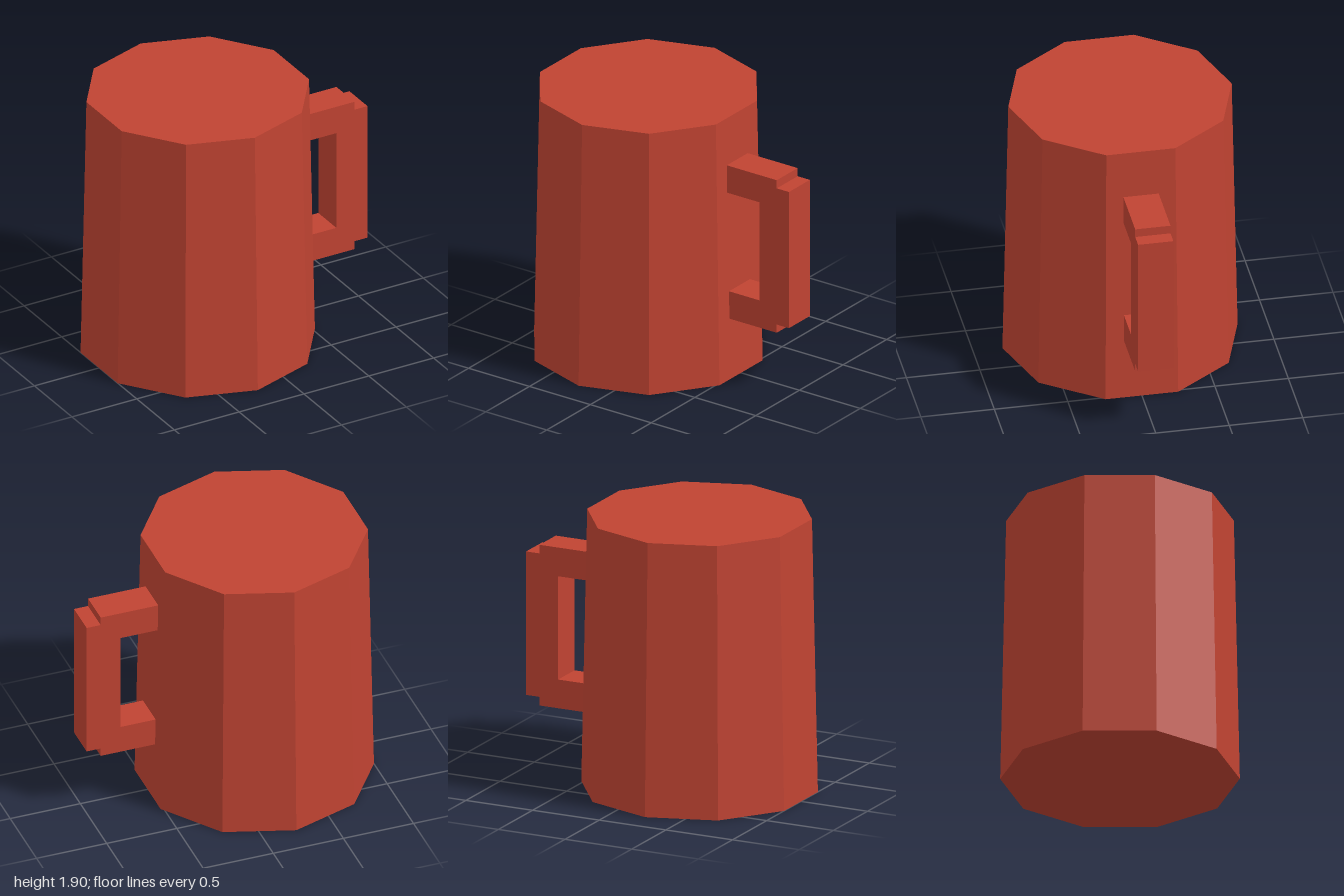
import * as THREE from 'three';

export function createModel() {
  const model = new THREE.Group();
  model.name = 'mug';
  const red = new THREE.MeshStandardMaterial({ color: 0xc04332, flatShading: true });
  red.name = 'brick red';

  // Ten-sided tapered body, closed at both ends
  const body = new THREE.Mesh(new THREE.CylinderGeometry(0.76, 0.8, 1.9, 10), red);
  body.name = 'body';
  body.position.set(-0.24, 0.95, 0);
  model.add(body);

  // Handle: stepped C outline, mirrored about its middle, with ends sunk into the body
  const middle = 1;
  const upper = [[0.45, 0.56], [0.9, 0.56], [0.9, 0.5], [1, 0.5]];
  const inner = [[0.76, 0.36], [0.45, 0.36]];
  const flip = (points) => points.map(([x, y]) => [x, -y]).reverse();
  const outline = [...upper, ...flip(upper), ...flip(inner), ...inner]
    .map(([x, y]) => new THREE.Vector2(x, middle + y));
  const width = 0.24;
  const handleGeometry = new THREE.ExtrudeGeometry(new THREE.Shape(outline), {
    depth: width,
    bevelEnabled: false,
  });
  handleGeometry.translate(0, 0, -width / 2);
  const handle = new THREE.Mesh(handleGeometry, red);
  handle.name = 'handle';
  model.add(handle);

  return model;
}
